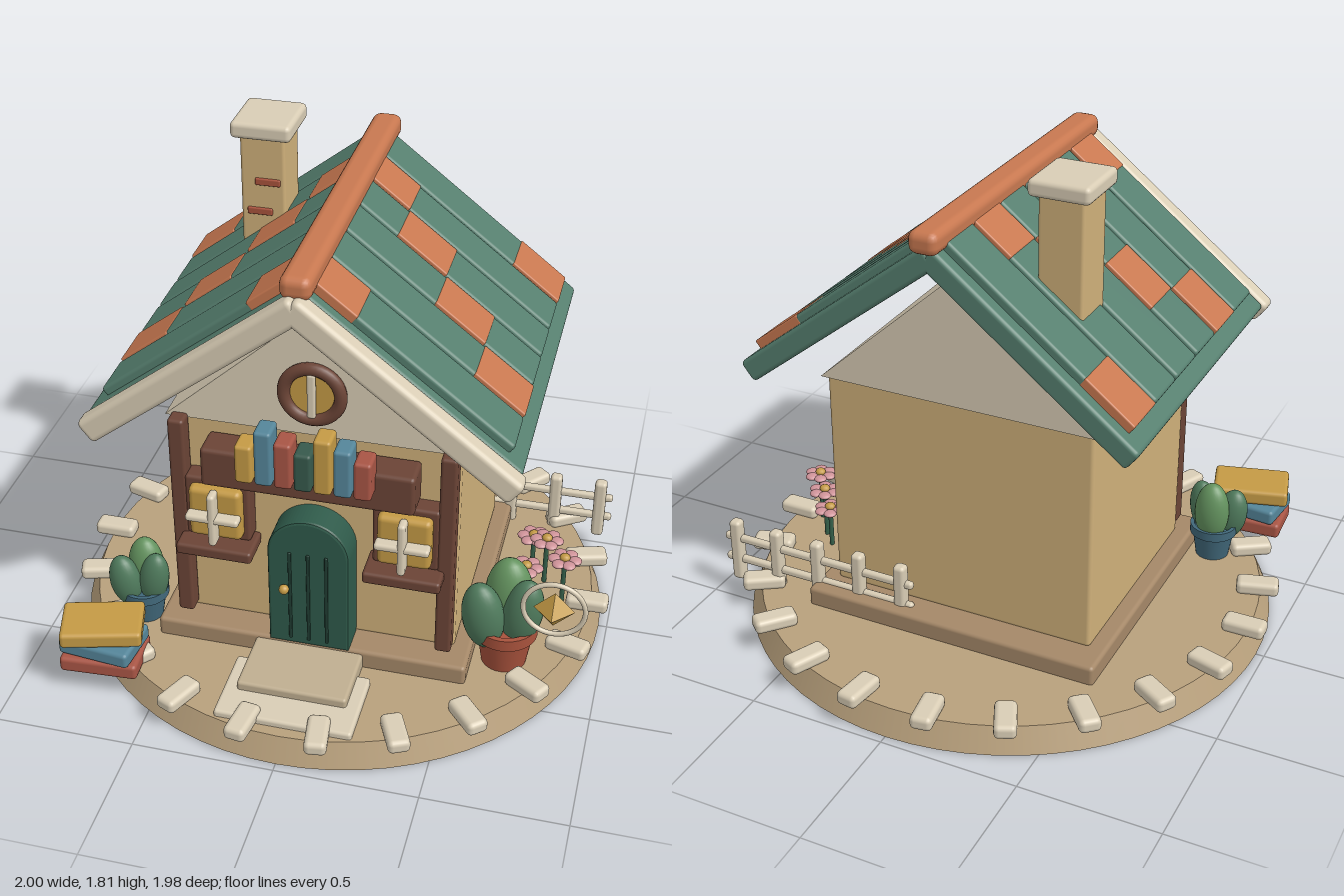
import * as THREE from 'three';
import { RoundedBoxGeometry } from 'three/addons/geometries/RoundedBoxGeometry.js';

const C = {
  ground: 0xb8a07c, plinth: 0xa58868, wall: 0xcfb07a, cream: 0xd9cdb5, wood: 0x6b4436,
  roof: 0x567f6f, tile: 0xc87850, door: 0x2f5a4a, dark: 0x1f3b31, brick: 0xa8523c,
  gold: 0xc49a45, blue: 0x55869a, red: 0xa85545, green: 0x37594c, teal: 0x41687a,
  leaf: 0x4f7a5c, leafLight: 0x64935f, stem: 0x35604a, pink: 0xcf9399, step: 0xbfae90,
};
const materials = {};
const mat = (c) => (materials[c] ??= new THREE.MeshStandardMaterial({ color: c }));

function add(parent, name, geometry, color, x = 0, y = 0, z = 0) {
  const m = new THREE.Mesh(geometry, mat(color));
  m.name = name;
  m.position.set(x, y, z);
  parent.add(m);
  return m;
}
// Softly rounded box, given by centre and size
function box(parent, name, color, x, y, z, w, h, d, r = 0.012) {
  return add(parent, name, new RoundedBoxGeometry(w, h, d, 2, Math.min(r, w / 2.1, h / 2.1, d / 2.1)), color, x, y, z);
}
function group(parent, name, x = 0, y = 0, z = 0) {
  const g = new THREE.Group();
  g.name = name;
  g.position.set(x, y, z);
  parent.add(g);
  return g;
}

function buildGround(root) {
  add(root, 'groundDisc', new THREE.CylinderGeometry(0.93, 0.97, 0.09, 64), C.ground, 0, 0.045, 0);
  const stones = group(root, 'borderStones');
  for (let i = 0; i < 22; i++) {
    const a = (i / 22) * Math.PI * 2;
    const s = box(stones, 'borderStone', C.cream, Math.cos(a) * 0.92, 0.11, Math.sin(a) * 0.92, 0.155, 0.052, 0.078, 0.018);
    s.rotation.y = -a;
  }
  box(root, 'plinth', C.plinth, 0, 0.12, 0, 1.12, 0.08, 1.06, 0.015);
  box(root, 'doorStep', C.step, 0, 0.115, 0.63, 0.39, 0.065, 0.28);
  box(root, 'pathSlab', C.cream, 0, 0.095, 0.745, 0.485, 0.04, 0.29);
}

function buildHouse(root) {
  box(root, 'walls', C.wall, 0, 0.575, 0, 1, 0.84, 0.84, 0.015);
  // Gable prism
  const tri = new THREE.Shape([[-0.52, 0.985], [0.52, 0.985], [0, 1.457]].map(([x, y]) => new THREE.Vector2(x, y)));
  add(root, 'gable', new THREE.ExtrudeGeometry(tri, { depth: 0.86, bevelEnabled: false }), C.cream, 0, 0, -0.43);
  for (const s of [-1, 1]) box(root, 'cornerPost', C.wood, s * 0.468, 0.59, 0.453, 0.058, 0.82, 0.066);

  // Round gable window
  const rw = group(root, 'roundWindow', 0, 1.155, 0.435);
  add(rw, 'windowRing', new THREE.TorusGeometry(0.097, 0.022, 12, 40), C.wood, 0, 0, 0.01);
  add(rw, 'windowGlass', new THREE.CylinderGeometry(0.09, 0.09, 0.02, 32), C.gold).rotation.x = Math.PI / 2;
  box(rw, 'windowBar', C.cream, 0, 0, 0.02, 0.03, 0.17, 0.02);

  // Side windows
  for (const s of [-1, 1]) {
    const w = group(root, 'sideWindow', s * 0.33, 0.66, 0);
    box(w, 'windowFrame', C.wood, 0, 0, 0.45, 0.23, 0.245, 0.075);
    box(w, 'windowGlass', C.gold, 0, 0, 0.495, 0.187, 0.2, 0.06, 0.02);
    box(w, 'windowBarVertical', C.cream, 0, 0, 0.54, 0.028, 0.21, 0.055);
    box(w, 'windowBarHorizontal', C.cream, 0, 0, 0.54, 0.19, 0.028, 0.05);
    box(w, 'windowSill', C.wood, 0, -0.143, 0.49, 0.27, 0.045, 0.14);
  }

  // Arched door
  const arch = new THREE.Shape();
  arch.moveTo(-0.135, 0.16);
  arch.lineTo(0.135, 0.16);
  arch.lineTo(0.135, 0.545);
  arch.absarc(0, 0.545, 0.135, 0, Math.PI, false);
  const door = group(root, 'door');
  add(door, 'doorPanel', new THREE.ExtrudeGeometry(arch, {
    depth: 0.1, bevelThickness: 0.01, bevelSize: 0.01, bevelSegments: 2, curveSegments: 20,
  }), C.door, 0, 0, 0.42);
  for (const x of [-0.065, 0, 0.065]) box(door, 'doorGroove', C.dark, x, 0.365, 0.53, 0.012, 0.38, 0.012, 0.004);
  add(door, 'doorKnob', new THREE.SphereGeometry(0.018, 16, 12), C.gold, -0.083, 0.4, 0.545);

  // Book shelf above the door
  box(root, 'shelfBoard', C.wood, 0, 0.865, 0.48, 0.735, 0.15, 0.12, 0.015);
  const books = group(root, 'shelfBooks');
  const cols = [C.gold, C.blue, C.red, C.green, C.gold, C.blue, C.red];
  [1.015, 1.08, 1.045, 1.015, 1.08, 1.05, 1.015].forEach((top, i) =>
    box(books, 'shelfBook', cols[i], (i - 3) * 0.067 + 0.004, (0.87 + top) / 2, 0.555, 0.06, top - 0.87, 0.09));
}

function buildRoof(root) {
  const roof = group(root, 'roof');
  const angle = THREE.MathUtils.degToRad(38);
  for (const s of [-1, 1]) {
    const slope = group(roof, 'roofSlope', 0, 1.587, 0);
    slope.rotation.z = -s * angle;
    box(slope, 'roofSlab', C.roof, s * 0.44, 0, -0.003, 0.9, 0.08, 1.21, 0.015);
    box(slope, 'bargeBoard', C.cream, s * 0.4435, 0, 0.637, 0.927, 0.09, 0.076, 0.02);
    for (let i = 0; i < 6; i++) {
      const z = 0.47 - i * 0.188;
      box(slope, 'roofPlank', C.roof, s * 0.405, 0.05, z, 0.83, 0.04, 0.177);
      // One orange tile per plank, stepping along the slope
      const k = (i * 3) % 4, from = Math.max(0.005, k * 0.2155 - 0.042), to = (k + 1) * 0.2155 - 0.042;
      box(slope, 'accentTile', C.tile, s * (from + to) / 2, 0.052, z, to - from, 0.041, 0.179, 0.006);
    }
  }
  box(roof, 'ridgeCap', C.tile, 0, 1.647, 0, 0.105, 0.08, 1.28, 0.03);

  const ch = group(root, 'chimney', -0.337, 0, -0.258);
  box(ch, 'chimneyStack', C.wall, 0, 1.485, 0, 0.16, 0.57, 0.175);
  box(ch, 'chimneyCap', C.cream, 0, 1.78, 0, 0.215, 0.06, 0.232, 0.018);
  box(ch, 'chimneyBrick', C.brick, 0.018, 1.588, 0.088, 0.09, 0.026, 0.016, 0.005);
  box(ch, 'chimneyBrick', C.brick, -0.012, 1.475, 0.088, 0.09, 0.026, 0.016, 0.005);
}

function buildPlant(root, x, z, scale, potColor) {
  const g = group(root, 'pottedPlant', x, 0.09, z);
  g.scale.setScalar(scale);
  const profile = [[0, 0], [0.08, 0], [0.1, 0.125], [0.114, 0.125], [0.114, 0.17], [0.095, 0.17], [0.09, 0.15], [0, 0.15]];
  // Doubled points keep the pot's edges crisp
  const pts = profile.flatMap(([r, y]) => [new THREE.Vector2(r, y), new THREE.Vector2(r, y)]);
  add(g, 'pot', new THREE.LatheGeometry(pts.slice(1, -1), 32), potColor);
  for (const [lx, ly, lz, rx, ry, tilt, c] of [
    [0, 0.255, -0.04, 0.085, 0.155, 0, C.leafLight],
    [-0.075, 0.215, 0.045, 0.075, 0.135, 0.15, C.leaf],
    [0.06, 0.235, 0.02, 0.07, 0.14, -0.15, C.leaf],
  ]) {
    const l = add(g, 'leaf', new THREE.SphereGeometry(1, 24, 16), c, lx, ly, lz);
    l.scale.set(rx, ry, rx * 0.85);
    l.rotation.z = tilt;
  }
}

function buildGarden(root) {
  buildPlant(root, 0.668, 0.355, 1, C.brick);
  buildPlant(root, -0.645, 0.43, 0.77, C.teal);

  // Stacked books
  const stack = group(root, 'bookStack', -0.7, 0, 0.705);
  [[C.red, 0.118, 0.06, 0.28], [C.blue, 0.182, -0.1, 0.265], [C.gold, 0.246, 0.27, 0.285]].forEach(([c, y, a, w]) => {
    box(stack, 'stackedBook', c, 0, y, 0, w, 0.06, 0.19, 0.015).rotation.y = a;
  });

  // Floating charm
  const charm = group(root, 'charm', 0.845, 0.463, 0.497);
  add(charm, 'charmRing', new THREE.TorusGeometry(0.105, 0.009, 10, 48), C.cream);
  const gem = new THREE.OctahedronGeometry(0.07);
  add(charm, 'charmGem', gem, C.gold);

  // Flowers
  for (const [x, z, top] of [[0.7, 0.12, 0.32], [0.825, 0, 0.285], [0.745, -0.1, 0.285], [0.69, -0.155, 0.25]]) {
    const f = group(root, 'flower', x, 0, z);
    add(f, 'flowerStem', new THREE.CylinderGeometry(0.009, 0.009, top - 0.08, 10), C.stem, 0, (top + 0.08) / 2, 0);
    for (let i = 0; i < 6; i++) {
      const a = (i / 6) * Math.PI * 2;
      add(f, 'petal', new THREE.SphereGeometry(0.025, 12, 8), C.pink, Math.cos(a) * 0.038, top, Math.sin(a) * 0.038).scale.y = 0.45;
    }
    add(f, 'flowerHeart', new THREE.SphereGeometry(0.02, 12, 8), C.gold, 0, top + 0.01, 0).scale.y = 0.7;
  }

  // Fence
  const fence = group(root, 'fence', 0, 0, -0.468);
  for (let i = 0; i < 5; i++) box(fence, 'fencePost', C.cream, 0.9 - i * 0.1725, 0.195, 0, 0.046, 0.25, 0.046, 0.015);
  for (const y of [0.157, 0.245]) box(fence, 'fenceRail', C.cream, 0.555, y, 0, 0.79, 0.03, 0.028);
}

export function createModel() {
  const root = new THREE.Group();
  root.name = 'cottage';
  buildGround(root);
  buildHouse(root);
  buildRoof(root);
  buildGarden(root);
  return root;
}
